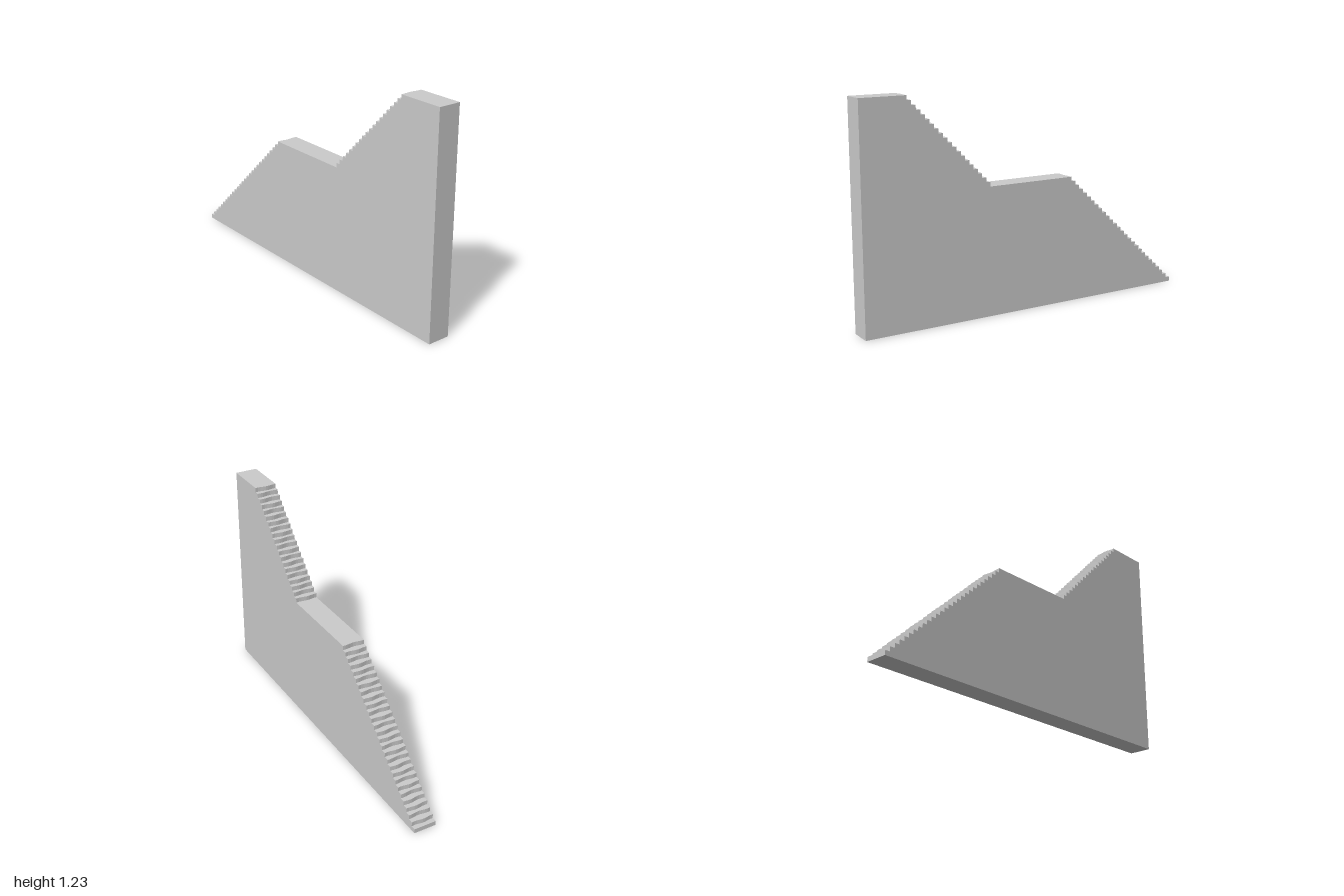
import * as THREE from 'three';

const WIDTH = 0.128;
const FLIGHTS = [
  { x0: -1, x1: -0.265, y0: 0, y1: 0.718, risers: 28 },
  { x0: 0.26, x1: 0.741, y0: 0.718, y1: 1.23, risers: 20 },
];

// Slight unevenness of each riser across the stair width, zero at both sides
function wear(x, z) {
  const phase = Math.sin(x * 91.7) * 2;
  const across = Math.cos((z / WIDTH) * Math.PI);
  return 0.005 * across * Math.sin((z / WIDTH) * 5 + phase);
}

export function createModel() {
  const group = new THREE.Group();
  group.name = 'staircase';

  // Side outline: two flights separated by a landing, with a top platform
  const shape = new THREE.Shape();
  shape.moveTo(-1, 0);
  for (const f of FLIGHTS) {
    for (let i = 0; i < f.risers; i++) {
      const x = THREE.MathUtils.lerp(f.x0, f.x1, i / (f.risers - 1));
      if (i > 0 || f.y0 > 0) shape.lineTo(x, f.y0 + (f.y1 - f.y0) * i / f.risers);
      shape.lineTo(x, f.y0 + (f.y1 - f.y0) * (i + 1) / f.risers);
    }
  }
  shape.lineTo(1, 1.23);
  shape.lineTo(1, 0);
  shape.closePath();

  const geometry = new THREE.ExtrudeGeometry(shape, { depth: WIDTH, steps: 8, bevelEnabled: false });
  geometry.translate(0, 0, -WIDTH / 2);

  // Bend the risers, leaving the outer faces and tall end wall straight
  const pos = geometry.attributes.position;
  for (let i = 0; i < pos.count; i++) {
    const x = pos.getX(i);
    if (x > -0.999 && x < 0.9) pos.setX(i, x + wear(x, pos.getZ(i)));
  }
  geometry.computeVertexNormals();

  const stairs = new THREE.Mesh(
    geometry,
    new THREE.MeshStandardMaterial({ color: 0xcccccc, flatShading: true })
  );
  stairs.name = 'stairFlightsAndLanding';
  group.add(stairs);
  return group;
}
